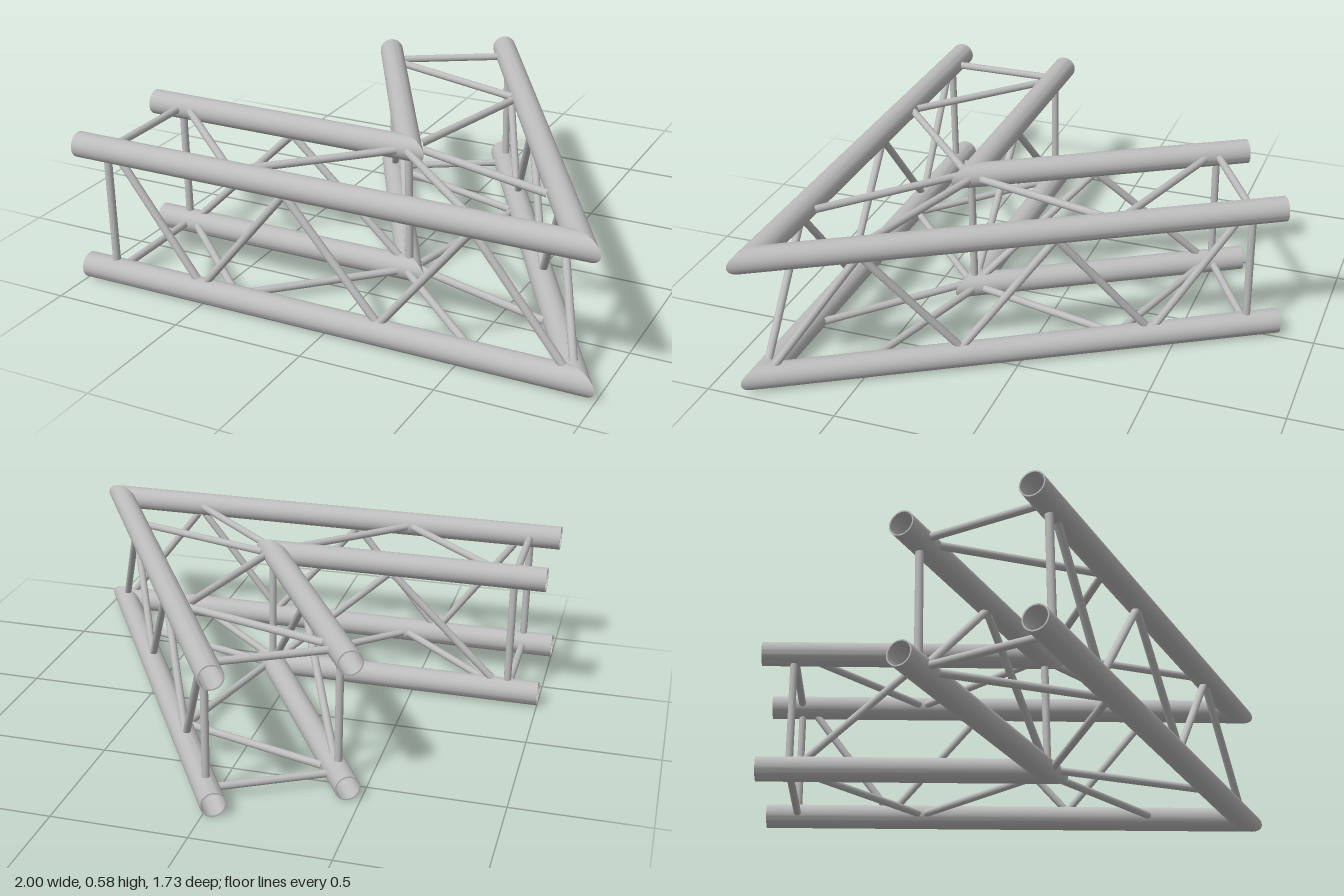
import * as THREE from 'three';
import { toCreasedNormals } from 'three/addons/utils/BufferGeometryUtils.js';

const R = 0.047, WALL = 0.005, BRACE_R = 0.0145;
const LEVELS = [0.047, 0.529];                       // lower and upper chord heights
const OUTER = { x: 0.919, z: 0.815 };                // corner points of the chord axes
const INNER = { x: 0.088, z: 0.335 };
const BISECTOR = new THREE.Vector3(Math.cos(Math.PI / 6), 0, Math.sin(Math.PI / 6));
const CORNER = new THREE.Vector3(OUTER.x, 0, OUTER.z);

const metal = new THREE.MeshStandardMaterial({ color: 0xbcbcbc });
metal.name = 'aluminium';

// Mirrors a point of the front leg onto the angled leg
function toAngledLeg(p) {
  const d = p.clone().sub(CORNER), y = d.y;
  d.y = 0;
  const m = BISECTOR.clone().multiplyScalar(2 * d.dot(BISECTOR)).sub(d);
  m.y = y;
  return m.add(CORNER);
}

// Hollow pipe from its open end to the corner, cut there at 30 degrees
function chord(name, start, corner, outward) {
  const L = start.distanceTo(corner), r = R - WALL;
  const profile = [[R, 0], [R, L], [r, L], [r, 0], [R, 0]].reverse()
    .map(([x, y]) => new THREE.Vector2(x, y));
  profile.reverse();
  const geo = new THREE.LatheGeometry(profile, 32);
  const pos = geo.attributes.position;
  for (let i = 0; i < pos.count; i++) {
    if (pos.getY(i) > L / 2) pos.setY(i, L + pos.getX(i) * Math.sqrt(3));
  }
  const dir = corner.clone().sub(start).normalize();
  const side = new THREE.Vector3().crossVectors(outward, dir);
  geo.applyMatrix4(new THREE.Matrix4().makeBasis(outward, dir, side).setPosition(start));
  const mesh = new THREE.Mesh(toCreasedNormals(geo, 0.4), metal);
  mesh.name = name;
  return mesh;
}

// Thin rod between two chord axes, trimmed to end in the pipe walls
function brace(name, a, b) {
  const t = 0.088;
  const p = a.clone().lerp(b, t), q = b.clone().lerp(a, t);
  const geo = new THREE.CylinderGeometry(BRACE_R, BRACE_R, p.distanceTo(q), 16, 1, true);
  const mesh = new THREE.Mesh(geo, metal);
  mesh.name = name;
  mesh.position.copy(p).add(q).multiplyScalar(0.5);
  mesh.quaternion.setFromUnitVectors(new THREE.Vector3(0, 1, 0), q.sub(p).normalize());
  return mesh;
}

function createLeg(name, place, outward) {
  const leg = new THREE.Group();
  leg.name = name;
  const [low, high] = LEVELS;
  const at = (x, y, z) => place(new THREE.Vector3(x, y, z));

  for (const y of LEVELS) {
    // Main pipes
    for (const [label, c] of [['outerChord', OUTER], ['innerChord', INNER]]) {
      leg.add(chord(label, at(-1, y, c.z), at(c.x, y, c.z), outward));
    }
    // Horizontal bracing: x on the inner pipe, x on the outer pipe
    for (const [xi, xo] of [[-0.877, -0.877], [-0.86, -0.35], [0.1, -0.41], [0.06, 0.57]]) {
      leg.add(brace('horizontalBrace', at(xi, y, INNER.z), at(xo, y, OUTER.z)));
    }
  }

  // Upright bracing: x at the bottom, x at the top
  const outerRods = [[-0.877, -0.877], [-0.495, -0.845], [-0.52, -0.12],
    [0.23, -0.18], [0.18, 0.57], [0.907, 0.53]];
  const innerRods = [[-0.877, -0.877], [-0.86, -0.36], [0.09, -0.43]];
  for (const [rods, z] of [[outerRods, OUTER.z], [innerRods, INNER.z]]) {
    for (const [xb, xt] of rods) {
      leg.add(brace('uprightBrace', at(xb, low, z), at(xt, high, z)));
    }
  }
  return leg;
}

export function createModel() {
  const model = new THREE.Group();
  model.name = 'cornerTruss';
  model.add(createLeg('frontLeg', p => p, new THREE.Vector3(0, 0, 1)));
  model.add(createLeg('angledLeg', toAngledLeg, new THREE.Vector3(Math.sqrt(3) / 2, 0, -0.5)));

  // Post at the inner corner
  model.add(brace('cornerPost',
    new THREE.Vector3(INNER.x, LEVELS[0], INNER.z),
    new THREE.Vector3(INNER.x, LEVELS[1], INNER.z)));
  return model;
}
